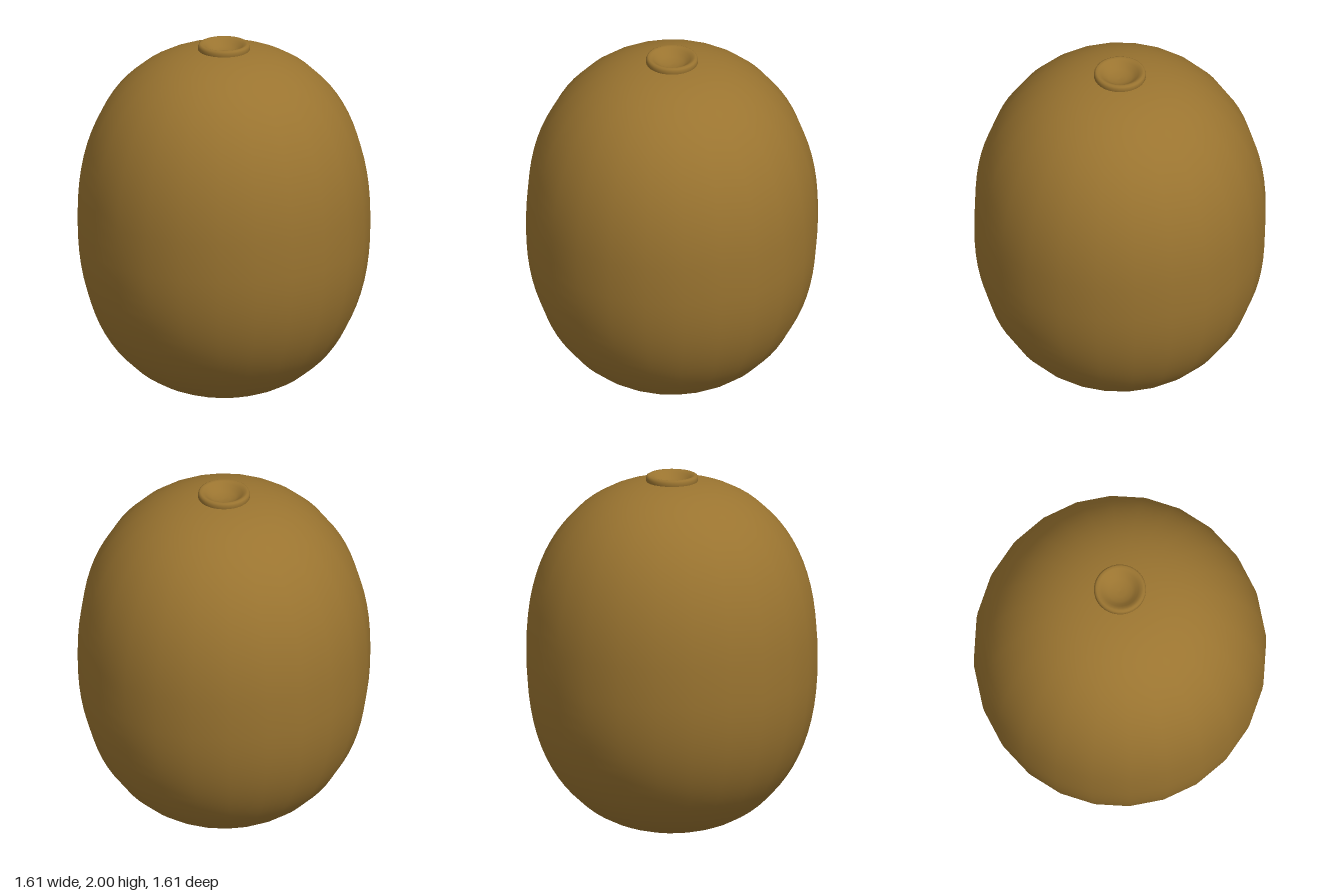
import * as THREE from 'three';

export function createModel() {
  const group = new THREE.Group();
  const brown = new THREE.MeshStandardMaterial({ color: 0x9a7430 });
  brown.name = 'brown skin';

  const lathe = (name, points, segments) => {
    const mesh = new THREE.Mesh(new THREE.LatheGeometry(points, segments), brown);
    mesh.name = name;
    group.add(mesh);
  };

  // Barrel-like body: a superellipse profile, open under the collar
  const body = [];
  const steps = 40, power = 2 / 2.3;
  for (let i = 0; i < steps; i++) {
    const a = (i / steps) * Math.PI;
    const c = Math.cos(a);
    const r = 0.803 * Math.pow(Math.sin(a), power);
    const y = 0.99 - 0.985 * Math.sign(c) * Math.pow(Math.abs(c), power);
    if (i < steps / 2 || r > 0.12) body.push(new THREE.Vector2(r, y));
  }
  body.push(new THREE.Vector2(0.12, 1.968));
  lathe('body', body, 24);

  // Rounded collar with a shallow dished centre
  const collar = [
    [0.138, 1.955], [0.143, 1.968], [0.143, 1.984], [0.139, 1.995], [0.13, 2],
    [0.117, 1.997], [0.102, 1.987], [0.085, 1.972], [0.065, 1.96], [0.035, 1.951], [0, 1.949],
  ].map(([r, y]) => new THREE.Vector2(r, y));
  lathe('stemCollar', collar, 32);

  return group;
}
